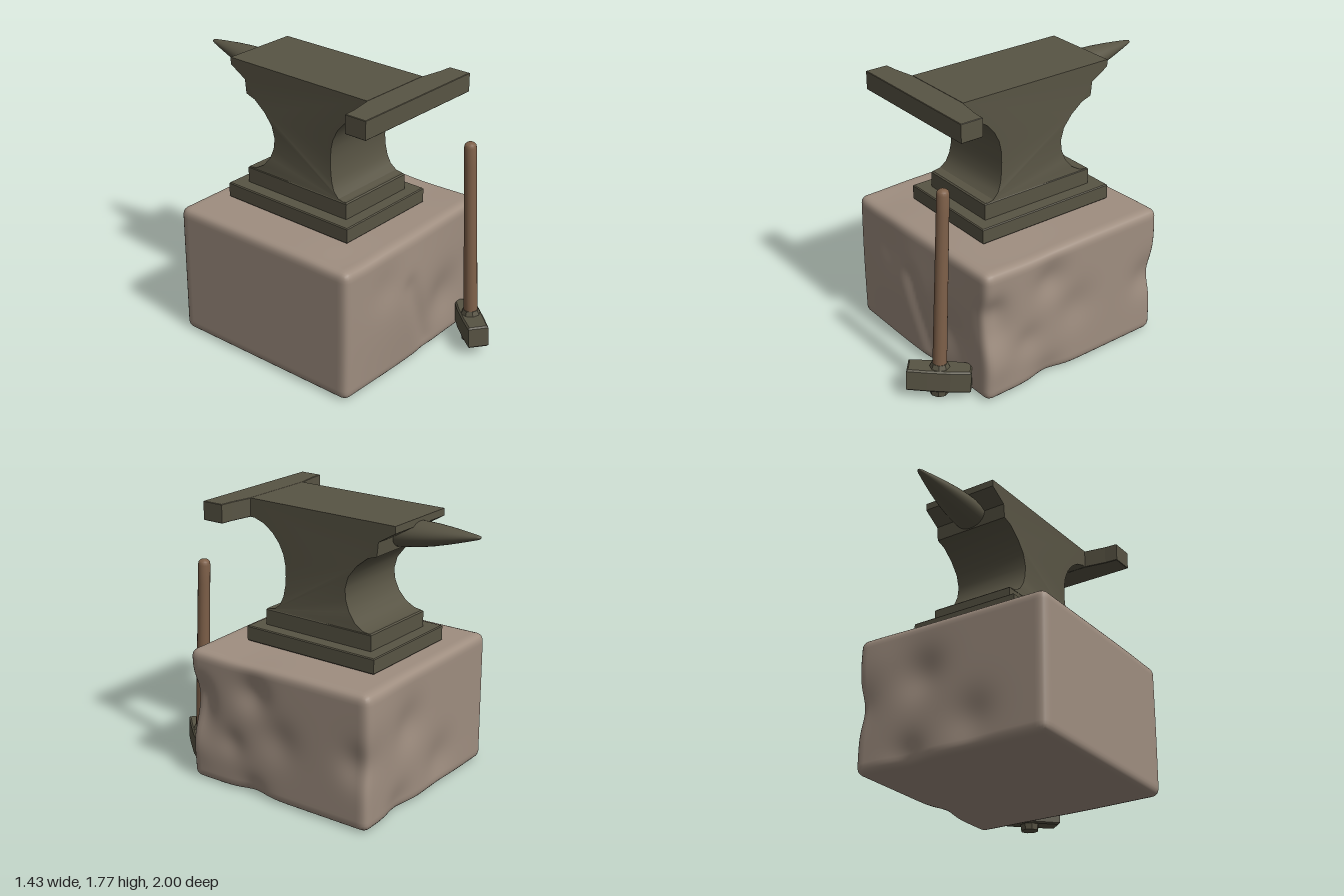
import * as THREE from 'three';
import { mergeVertices, toCreasedNormals } from 'three/addons/utils/BufferGeometryUtils.js';

const mat = (name, color) => {
  const m = new THREE.MeshStandardMaterial({ color });
  m.name = name;
  return m;
};
const V2 = (list) => list.map(([x, y]) => new THREE.Vector2(x, y));

export function createModel() {
  const iron = mat('dark iron', 0x585444);
  const stone = mat('stone', 0x9f8e80);
  const wood = mat('wood', 0x7e6049);

  const add = (parent, name, geometry, material, x = 0, y = 0, z = 0) => {
    const mesh = new THREE.Mesh(geometry, material);
    mesh.name = name;
    mesh.position.set(x, y, z);
    parent.add(mesh);
    return mesh;
  };
  const group = (parent, name) => {
    const g = new THREE.Group();
    g.name = name;
    parent.add(g);
    return g;
  };
  // plan outline given as [x, z], extruded upwards
  const slab = (outline, height, bevel) => {
    const shape = new THREE.Shape(V2(outline.map(([x, z]) => [x, -z])));
    const g = new THREE.ExtrudeGeometry(shape, {
      depth: height - 2 * bevel, bevelEnabled: bevel > 0, bevelSize: bevel,
      bevelOffset: -bevel, bevelThickness: bevel, bevelSegments: 1,
    });
    g.translate(0, 0, bevel);
    return g.rotateX(-Math.PI / 2);
  };
  const rect = (w, l) => [[-w / 2, l / 2], [w / 2, l / 2], [w / 2, -l / 2], [-w / 2, -l / 2]];

  const model = new THREE.Group();
  model.name = 'anvilOnStone';

  // Stone block: rounded box with worn hollows and swellings
  const half = new THREE.Vector3(0.667, 0.437, 0.673);
  const dents = [ // centre, radius, push
    [-0.1, 0, 0.67, 0.42, 0, 0, 0.036],
    [0.3, -0.12, 0.67, 0.17, 0, 0, -0.035],
    [-0.3, 0.2, 0.67, 0.13, 0, 0, -0.012],
    [0.667, 0.17, 0.62, 0.1, -0.035, 0, -0.01],
    [0.667, 0.04, 0.62, 0.13, -0.035, 0, -0.015],
    [0.667, -0.22, 0.6, 0.12, 0.012, 0, 0],
    [0.667, 0.24, 0.18, 0.12, -0.035, 0, 0],
    [0.667, -0.02, -0.02, 0.14, -0.02, 0, 0],
    [0.667, -0.12, 0.35, 0.1, -0.018, 0, 0],
    [0.667, -0.02, -0.62, 0.13, -0.03, 0, 0.015],
    [0.667, -0.43, 0.2, 0.12, -0.025, 0.01, 0],
    [0.55, 0.25, -0.67, 0.2, 0, 0, -0.015],
    [0.2, 0.1, -0.67, 0.15, 0, 0, 0.03],
    [-0.15, -0.25, -0.67, 0.15, 0, 0, 0.025],
    [0.3, -0.4, -0.67, 0.13, 0, 0, 0.03],
    [-0.5, 0.44, 0.6, 0.2, 0, -0.012, 0],
    [0.6, 0.44, 0.3, 0.25, 0, -0.01, 0],
  ];
  // groove running down the front
  for (let t = 0; t <= 1; t += 0.125) dents.push([-0.08 + 0.2 * t, 0.12 - 0.5 * t, 0.69, 0.065, 0, 0, -0.012]);

  let block = new THREE.BoxGeometry(half.x * 2, half.y * 2, half.z * 2, 56, 40, 56);
  block.deleteAttribute('uv');
  block.deleteAttribute('normal');
  block = mergeVertices(block, 1e-4);
  const pos = block.attributes.position;
  const p = new THREE.Vector3(), q = new THREE.Vector3(), d = new THREE.Vector3();
  const r = 0.05, core = half.clone().subScalar(r), coreMin = core.clone().negate();
  for (let i = 0; i < pos.count; i++) {
    p.fromBufferAttribute(pos, i);
    q.copy(p).clamp(coreMin, core);
    d.copy(p).sub(q).setLength(r);
    q.add(d);
    p.copy(q);
    for (const [x, y, z, rad, px, py, pz] of dents) {
      const w = Math.exp(-((q.x - x) ** 2 + (q.y - y) ** 2 + (q.z - z) ** 2) / (rad * rad));
      p.addScaledVector(d.set(px, py, pz), w);
    }
    pos.setXYZ(i, p.x, p.y, p.z);
  }
  block.computeVertexNormals();
  add(model, 'stoneBlock', block, stone, 0, 0.442, 0).rotation.y = 0.068;

  // Anvil
  const anvil = group(model, 'anvil');
  anvil.position.x = -0.006;
  anvil.rotation.y = 0.051;
  add(anvil, 'lowerFoot', slab(rect(0.738, 0.974), 0.1, 0.006), iron, 0, 0.885, -0.035);
  add(anvil, 'upperFoot', slab(rect(0.56, 0.806), 0.118, 0.008), iron, 0, 0.975, -0.033);

  // Waist and face: side profile as [z, y], flared towards the foot
  const front = [[0.36, 1.09], [0.305, 1.1], [0.265, 1.135], [0.242, 1.19], [0.23, 1.26], [0.227, 1.32],
    [0.229, 1.39], [0.245, 1.46], [0.278, 1.525], [0.33, 1.585], [0.4, 1.632], [0.47, 1.655], [0.5, 1.655]];
  const back = [[0.5, 1.775], [-0.585, 1.775], [-0.585, 1.73], [-0.467, 1.66], [-0.457, 1.57],
    [-0.39, 1.548], [-0.31, 1.485], [-0.25, 1.41], [-0.227, 1.33], [-0.235, 1.26], [-0.262, 1.195],
    [-0.31, 1.135], [-0.37, 1.1], [-0.43, 1.09]];
  const profile = new THREE.Shape(V2([...front, ...back]));
  let body = new THREE.ExtrudeGeometry(profile, { depth: 2, bevelEnabled: false });
  body.rotateY(-Math.PI / 2).translate(1, 0, 0);
  const bp = body.attributes.position;
  for (let i = 0; i < bp.count; i++) {
    const t = Math.max(0, 1.35 - bp.getY(i)) / 0.26;
    bp.setX(i, bp.getX(i) * (0.257 + 0.02 * t * t));
  }
  body = toCreasedNormals(body, 0.5);
  add(anvil, 'body', body, iron);

  // Crosswise bar at the front of the face
  const bar = [[-0.485, 0.68], [0.485, 0.68], [0.485, 0.532], [0.4, 0.526], [0.257, 0.5],
    [-0.257, 0.5], [-0.4, 0.526], [-0.485, 0.532]];
  add(anvil, 'crossBar', slab(bar, 0.12, 0.003), iron, 0, 1.655, 0);

  // Horn: flattened cone rising towards its tip
  const horn = new THREE.LatheGeometry(V2([[0.112, 0.4], [0.111, 0.5], [0.104, 0.6], [0.088, 0.7],
    [0.066, 0.8], [0.04, 0.9], [0.019, 0.975], [0.012, 0.992], [0, 1]]), 28);
  horn.rotateX(-Math.PI / 2).scale(1, 0.75, 1);
  const hp = horn.attributes.position;
  for (let i = 0; i < hp.count; i++) hp.setY(i, hp.getY(i) + 1.72 - 0.11 * (1 + hp.getZ(i)));
  horn.computeVertexNormals();
  add(anvil, 'horn', horn, iron);

  // Hammer leaning against the stone
  const hammer = group(model, 'hammer');
  hammer.position.set(0.456, 0.02, 0.808);
  hammer.rotation.set(-0.052, 0, 0.009);
  const handle = new THREE.LatheGeometry(V2([[0, 0.03], [0.044, 0.03], [0.044, 0.3], [0.041, 0.8],
    [0.039, 1.2], [0.039, 1.32], [0.035, 1.34], [0.022, 1.352], [0, 1.354]]), 16);
  add(hammer, 'handle', toCreasedNormals(handle, 0.7), wood);
  const head = group(hammer, 'head');
  head.rotation.y = 0.927;
  const plan = [[-0.195, 0.065], [-0.07, 0.07], [0.07, 0.07], [0.195, 0.058],
    [0.195, -0.058], [0.07, -0.07], [-0.07, -0.07], [-0.195, -0.065]];
  add(head, 'headBlock', slab(plan, 0.145, 0.01), iron, 0, 0.035, 0);
  const collar = new THREE.CylinderGeometry(0.05, 0.064, 0.035, 8);
  add(head, 'upperCollar', toCreasedNormals(collar, 0.3), iron, 0, 0.192, 0);
  const stub = new THREE.CylinderGeometry(0.064, 0.058, 0.05, 8);
  add(head, 'lowerCollar', toCreasedNormals(stub, 0.3), iron, 0, 0.02, 0);

  return model;
}
